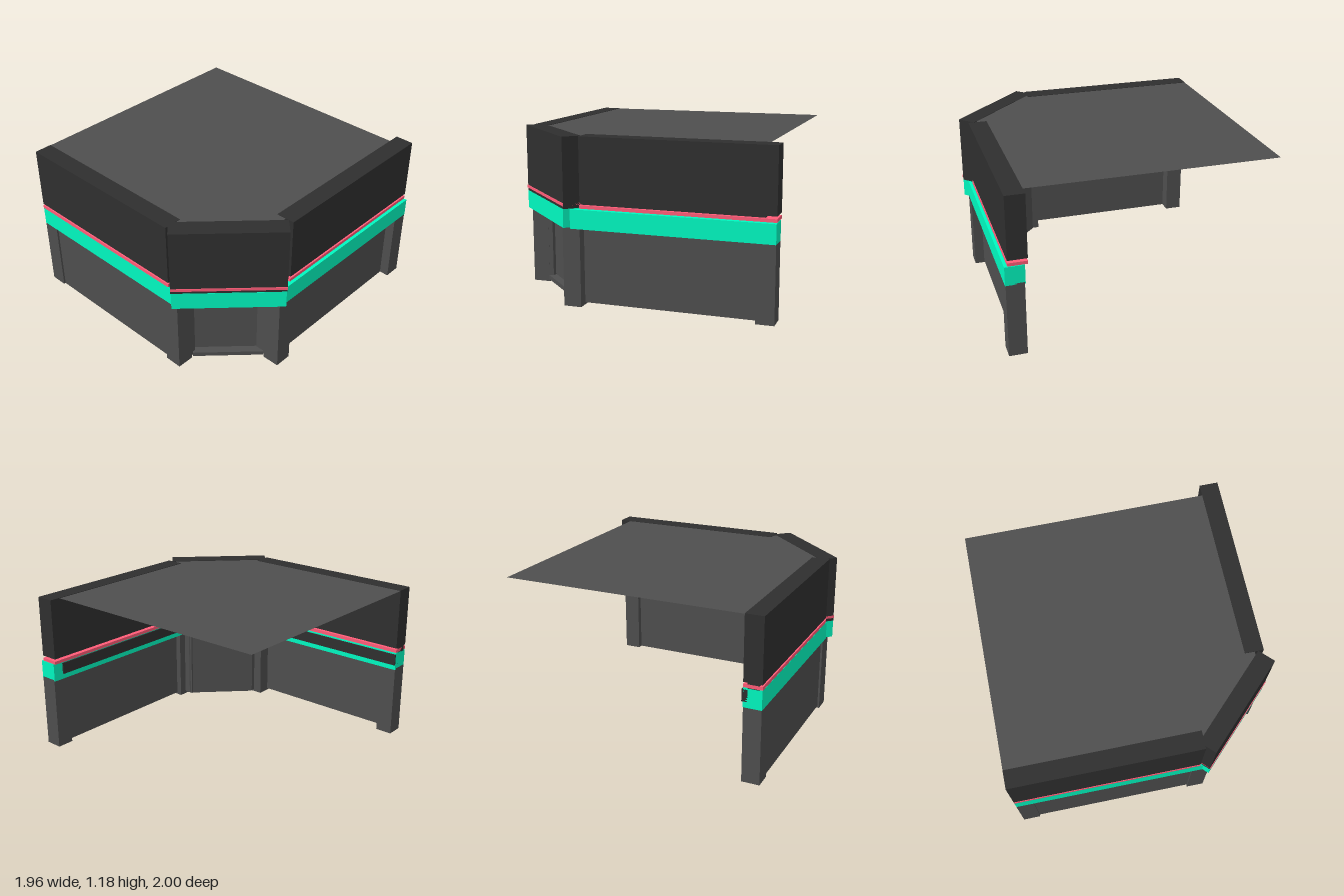
import * as THREE from 'three';

const mat = (color) => new THREE.MeshStandardMaterial({ color });

export function createModel() {
  const root = new THREE.Group();
  const dark = mat(0x2f2f2f), grey = mat(0x4e4e4e), teal = mat(0x00f8c0), pink = mat(0xff5c78);

  // Box given by its min and max on each axis
  const span = (name, m, x0, x1, y0, y1, z0, z1) => {
    const mesh = new THREE.Mesh(new THREE.BoxGeometry(x1 - x0, y1 - y0, z1 - z0), m);
    mesh.position.set((x0 + x1) / 2, (y0 + y1) / 2, (z0 + z1) / 2);
    mesh.name = name;
    root.add(mesh);
    return mesh;
  };
  // Box turned 45 degrees to follow the cut corner
  const diagonal = (name, m, cx, cz, length, depth, y0, y1) => {
    const mesh = span(name, m, -length / 2, length / 2, y0, y1, -depth / 2, depth / 2);
    mesh.position.x = cx;
    mesh.position.z = cz;
    mesh.rotation.y = Math.PI / 4;
  };

  // Front wall: parapet, trim, band and lower panel
  span('frontParapet', dark, -0.98, 0.37, 0.725, 1.18, 0.83, 0.96);
  span('frontTrim', pink, -0.98, 0.37, 0.689, 0.714, 0.83, 0.962);
  span('frontBand', teal, -0.98, 0.395, 0.55, 0.685, 0.83, 0.96);
  span('frontCore', dark, -0.98, 0.37, 0.68, 0.74, 0.86, 0.94);
  span('frontInnerRail', dark, -0.98, 0.37, 0.59, 0.675, 0.82, 0.86);
  span('frontPanel', grey, -0.86, 0.33, 0.015, 0.56, 0.93, 0.945);

  // Left-hand wall
  span('sideParapet', dark, 0.79, 0.925, 0.73, 1.18, -1, 0.355);
  span('sideTrim', pink, 0.79, 0.924, 0.689, 0.712, -1, 0.36);
  span('sideBand', teal, 0.81, 0.945, 0.55, 0.685, -1, 0.42);
  span('sideCore', dark, 0.83, 0.9, 0.68, 0.74, -0.92, 0.36);
  span('sideInnerRail', dark, 0.80, 0.84, 0.59, 0.675, -0.92, 0.36);
  span('sidePanel', grey, 0.858, 0.872, 0.015, 0.56, -0.88, 0.36);

  // Corner wall with its recessed panel, sill and side fillers
  diagonal('cornerParapet', dark, 0.6575, 0.6775, 0.778, 0.134, 0.69, 1.18);
  diagonal('cornerTrim', pink, 0.661, 0.681, 0.778, 0.134, 0.71, 0.73);
  diagonal('cornerBand', teal, 0.66, 0.68, 0.77, 0.13, 0.56, 0.69);
  diagonal('cornerPanel', grey, 0.58, 0.605, 0.54, 0.03, 0.02, 0.57);
  diagonal('cornerSill', grey, 0.61, 0.632, 0.5, 0.065, 0.018, 0.05);
  span('cornerFiller', grey, 0.74, 0.82, 0.02, 0.56, 0.41, 0.472);
  span('cornerFiller', grey, 0.39, 0.446, 0.02, 0.56, 0.80, 0.84);

  // Pillars: x, z of the lower corner, and the foot height
  for (const [x, z, foot] of [[-0.98, 0.832, 0.015], [0.32, 0.832, 0], [0.815, 0.35, 0], [0.815, -1, 0.015]])
    span('pillar', grey, x, x + 0.127, foot, 0.56, z, z + 0.127);

  // Flat roof with the cut corner
  const outline = [[-0.98, -0.918], [0.86, -0.918], [0.86, 0.44], [0.4, 0.9], [-0.98, 0.9]];
  const shape = new THREE.Shape(outline.map(([x, z]) => new THREE.Vector2(x, -z)));
  const roofMat = mat(0x4e4e4e);
  roofMat.side = THREE.DoubleSide;
  const roof = new THREE.Mesh(new THREE.ShapeGeometry(shape), roofMat);
  roof.rotation.x = -Math.PI / 2;
  roof.position.y = 1.177;
  roof.name = 'roof';
  root.add(roof);

  return root;
}
